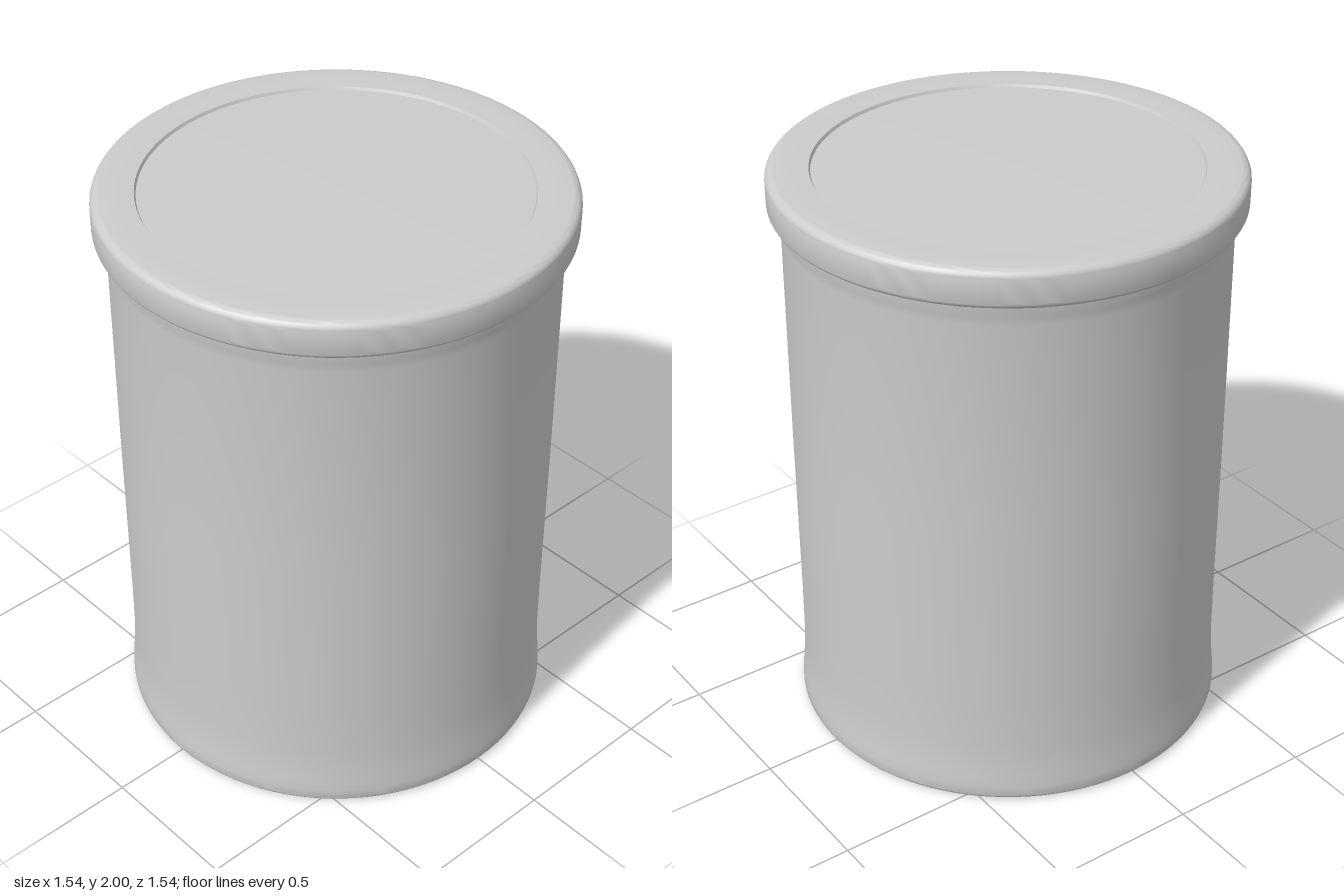
import * as THREE from 'three';
import { toCreasedNormals } from 'three/addons/utils/BufferGeometryUtils.js';

const SEGMENTS = 96;

// Appends a rounded corner: quarter arc of radius r about (cx, cy)
function corner(points, cx, cy, r, from, steps = 6) {
  for (let i = 0; i <= steps; i++) {
    const a = from + (i / steps) * Math.PI / 2;
    points.push([cx + r * Math.cos(a), cy + r * Math.sin(a)]);
  }
}

// Spins a profile (listed from bottom to top) round the y axis
function turned(name, profile, material) {
  const lathe = new THREE.LatheGeometry(profile.map(([x, y]) => new THREE.Vector2(x, y)), SEGMENTS);
  const mesh = new THREE.Mesh(toCreasedNormals(lathe, 0.6), material);
  mesh.name = name;
  return mesh;
}

export function createModel() {
  const group = new THREE.Group();
  group.name = 'liddedCanister';
  const material = new THREE.MeshStandardMaterial({ color: 0xcccccc });

  // Body: recessed underside, flared foot, straight wall, slight flare under the lid
  const body = [[0, 0.02], [0.59, 0.02], [0.605, 0.005], [0.62, 0]];
  corner(body, 0.72, 0.02, 0.02, -Math.PI / 2);
  body.push([0.739, 0.05], [0.735, 0.09], [0.73, 0.14], [0.727, 0.22], [0.726, 0.4],
    [0.728, 1.0], [0.728, 1.8], [0.731, 1.83], [0.738, 1.86], [0.738, 1.9], [0, 1.9]);
  group.add(turned('body', body, material));

  // Lid: rounded rim with a shallow inset disc that rises gently to the centre
  const lid = [[0, 1.872], [0.73, 1.872]];
  corner(lid, 0.745, 1.897, 0.025, -Math.PI / 2);
  corner(lid, 0.74, 1.97, 0.03, 0);
  lid.push([0.68, 2], [0.63, 1.999], [0.625, 1.989], [0.4, 1.992], [0.2, 1.995], [0, 1.998]);
  group.add(turned('lid', lid, material));

  return group;
}
